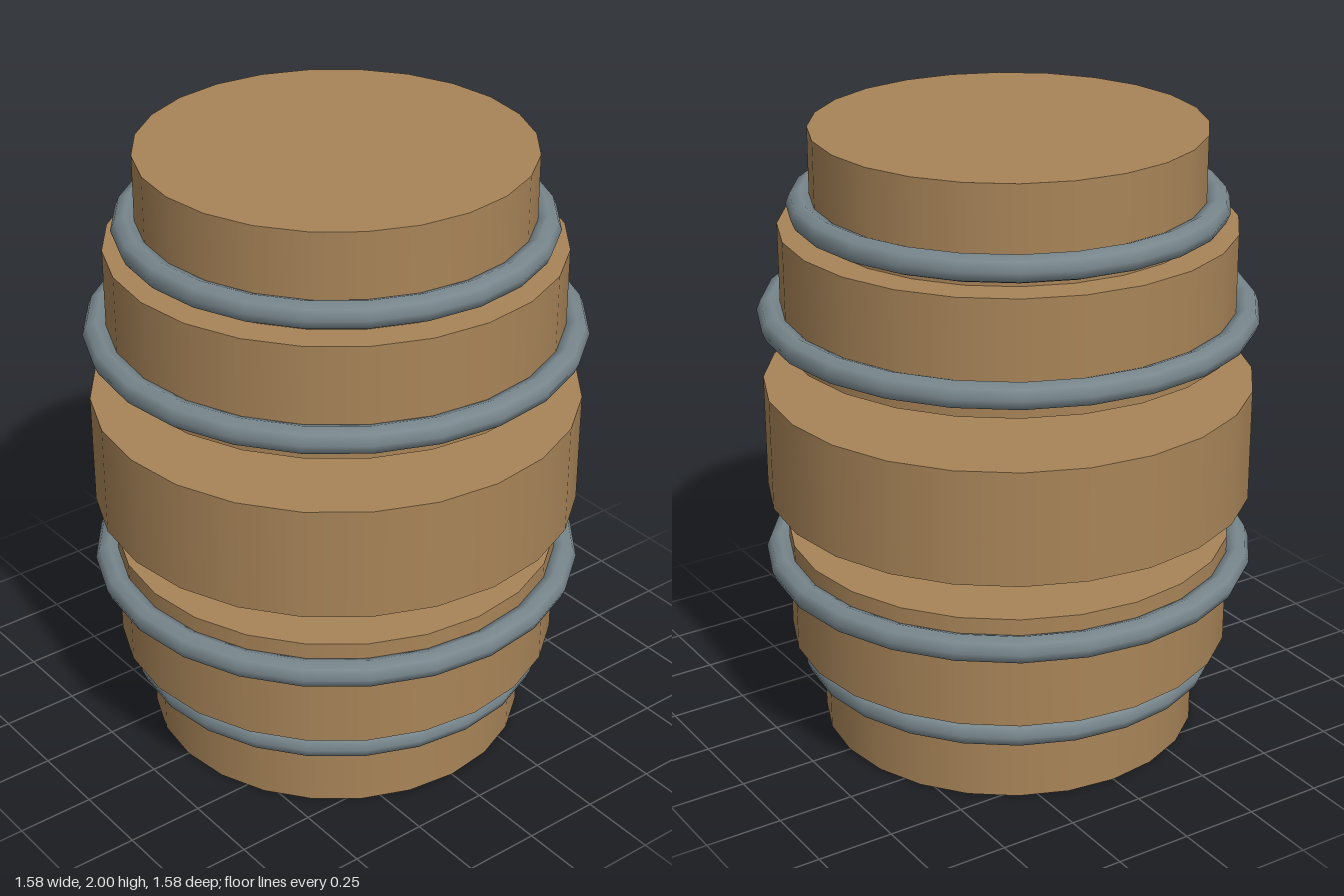
import * as THREE from 'three';

const SIDES = 24;
const MID = 1.004; // height of the mirror plane

export function createModel() {
  const model = new THREE.Group();
  model.name = 'barrel';
  const wood = new THREE.MeshStandardMaterial({ color: 0xa88458 });
  const iron = new THREE.MeshStandardMaterial({ color: 0x78878d });

  const addDrum = (name, radius, bottom, top) => {
    const drum = new THREE.Mesh(new THREE.CylinderGeometry(radius, radius, top - bottom, SIDES), wood);
    drum.position.y = (bottom + top) / 2;
    drum.name = name;
    model.add(drum);
  };
  const addHoop = (name, radius, y) => {
    const hoop = new THREE.Mesh(new THREE.TorusGeometry(radius, 0.043, 8, SIDES), iron);
    hoop.rotation.x = Math.PI / 2;
    hoop.position.y = y;
    hoop.name = name;
    model.add(hoop);
  };

  // Stepped wooden body: separate drums, widest in the middle
  addDrum('middleDrum', 0.777, 0.82, 1.187);
  addDrum('upperDrum', 0.715, 1.33, 1.695);
  addDrum('lowerDrum', 0.715, 0.312, 0.678);
  addDrum('topDrum', 0.613, 1.633, 2);
  addDrum('bottomDrum', 0.613, 0, 0.367);

  // Iron hoops, mirrored above and below the middle
  for (const [side, s] of [['upper', 1], ['lower', -1]]) {
    addHoop(side + 'InnerHoop', 0.746, MID + s * 0.409);
    addHoop(side + 'EndHoop', 0.643, MID + s * 0.755);
  }
  return model;
}
